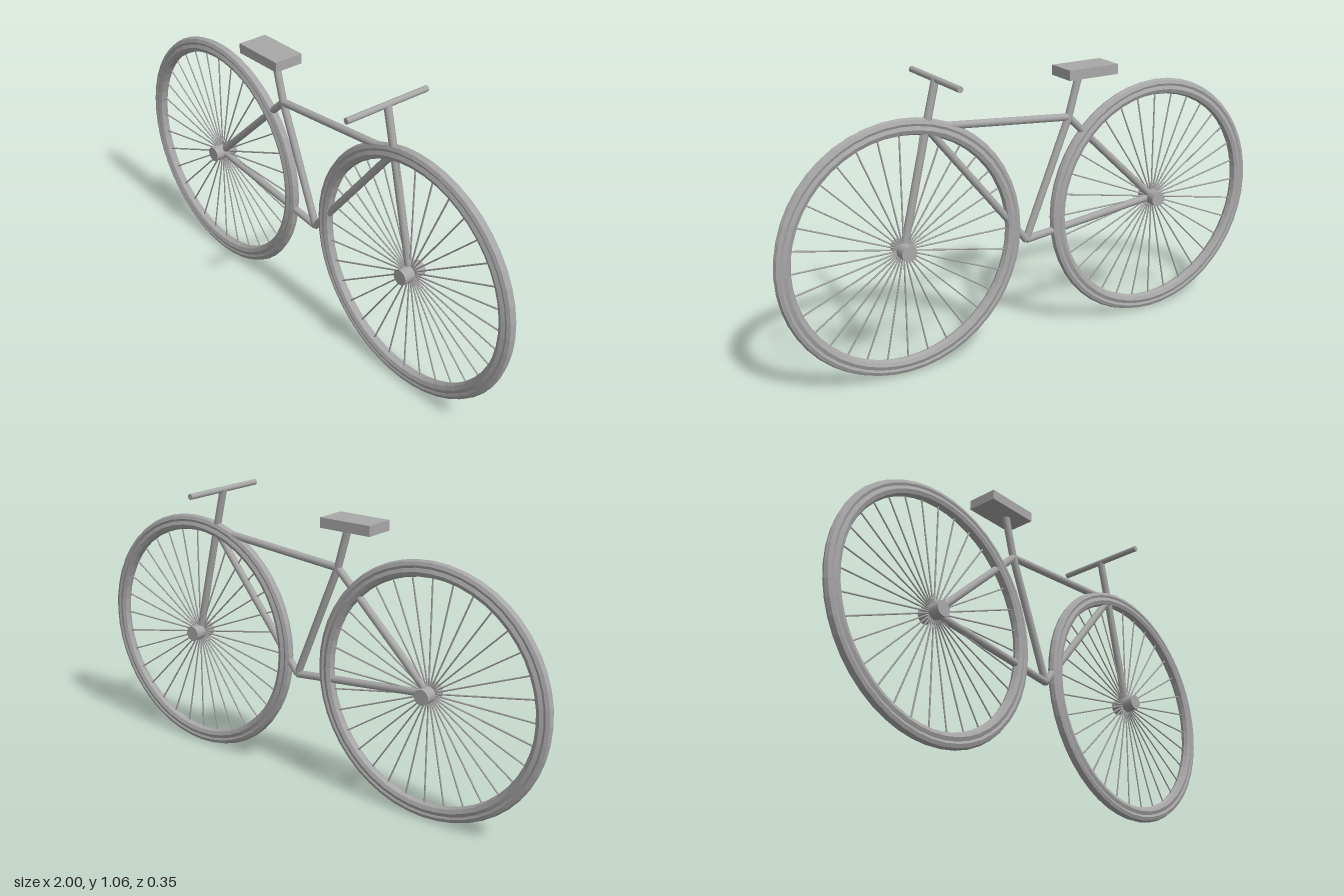
import * as THREE from 'three';

const Y = new THREE.Vector3(0, 1, 0);

export function createModel() {
  const model = new THREE.Group();
  model.name = 'bicycle';
  const grey = new THREE.MeshStandardMaterial({ color: 0xa8a8a8 });
  grey.name = 'plain grey';
  const facetedGrey = grey.clone();
  facetedGrey.flatShading = true;

  const add = (parent, name, geometry, material = grey) => {
    const mesh = new THREE.Mesh(geometry, material);
    mesh.name = name;
    parent.add(mesh);
    return mesh;
  };

  // Straight round tube between two [x, y, z] points
  const tube = (parent, name, a, b, radius, sides = 12) => {
    const from = new THREE.Vector3(...a), to = new THREE.Vector3(...b);
    const dir = to.clone().sub(from);
    const mesh = add(parent, name, new THREE.CylinderGeometry(radius, radius, dir.length(), sides));
    mesh.position.copy(from).lerp(to, 0.5);
    mesh.quaternion.setFromUnitVectors(Y, dir.normalize());
    return mesh;
  };

  // Key points of the frame
  const rearAxle = [-0.533, 0.467, 0];
  const frontAxle = [0.533, 0.467, 0];
  const crank = [0.04, 0.404, 0];
  const seatJoint = [-0.142, 0.842, 0];
  const seatTop = [-0.187, 1.0, 0];
  const head = [0.433, 0.89, 0];
  const stemTop = [0.393, 1.05, 0];

  // Wheels: tyre, rim, hub and radial spokes
  const spokes = 32;
  for (const [name, centre] of [['rearWheel', rearAxle], ['frontWheel', frontAxle]]) {
    const wheel = new THREE.Group();
    wheel.name = name;
    wheel.position.set(...centre);
    model.add(wheel);
    add(wheel, 'tyre', new THREE.TorusGeometry(0.449, 0.018, 8, 48), facetedGrey);
    add(wheel, 'rim', new THREE.TorusGeometry(0.427, 0.02, 8, 48), facetedGrey);
    tube(wheel, 'hub', [0, 0, -0.047], [0, 0, 0.047], 0.029, 16);
    for (let i = 0; i < spokes; i++) {
      const a = (i / spokes) * Math.PI * 2;
      tube(wheel, 'spoke', [0, 0, 0], [Math.cos(a) * 0.42, Math.sin(a) * 0.42, 0], 0.003, 6);
    }
  }

  // Frame tubes
  const r = 0.014;
  tube(model, 'chainStay', rearAxle, crank, r);
  tube(model, 'seatStay', rearAxle, seatJoint, r);
  tube(model, 'seatTube', crank, seatJoint, r);
  tube(model, 'seatPost', seatJoint, seatTop, r);
  tube(model, 'topTube', seatJoint, head, r);
  tube(model, 'downTube', crank, head, r);
  tube(model, 'fork', frontAxle, head, r);
  tube(model, 'stem', head, stemTop, r);

  // Handlebar and saddle
  tube(model, 'handlebar', [0.393, 1.05, -0.176], [0.393, 1.05, 0.176], 0.011);
  add(model, 'saddle', new THREE.BoxGeometry(0.208, 0.037, 0.116)).position.set(-0.212, 1.009, 0);

  return model;
}
